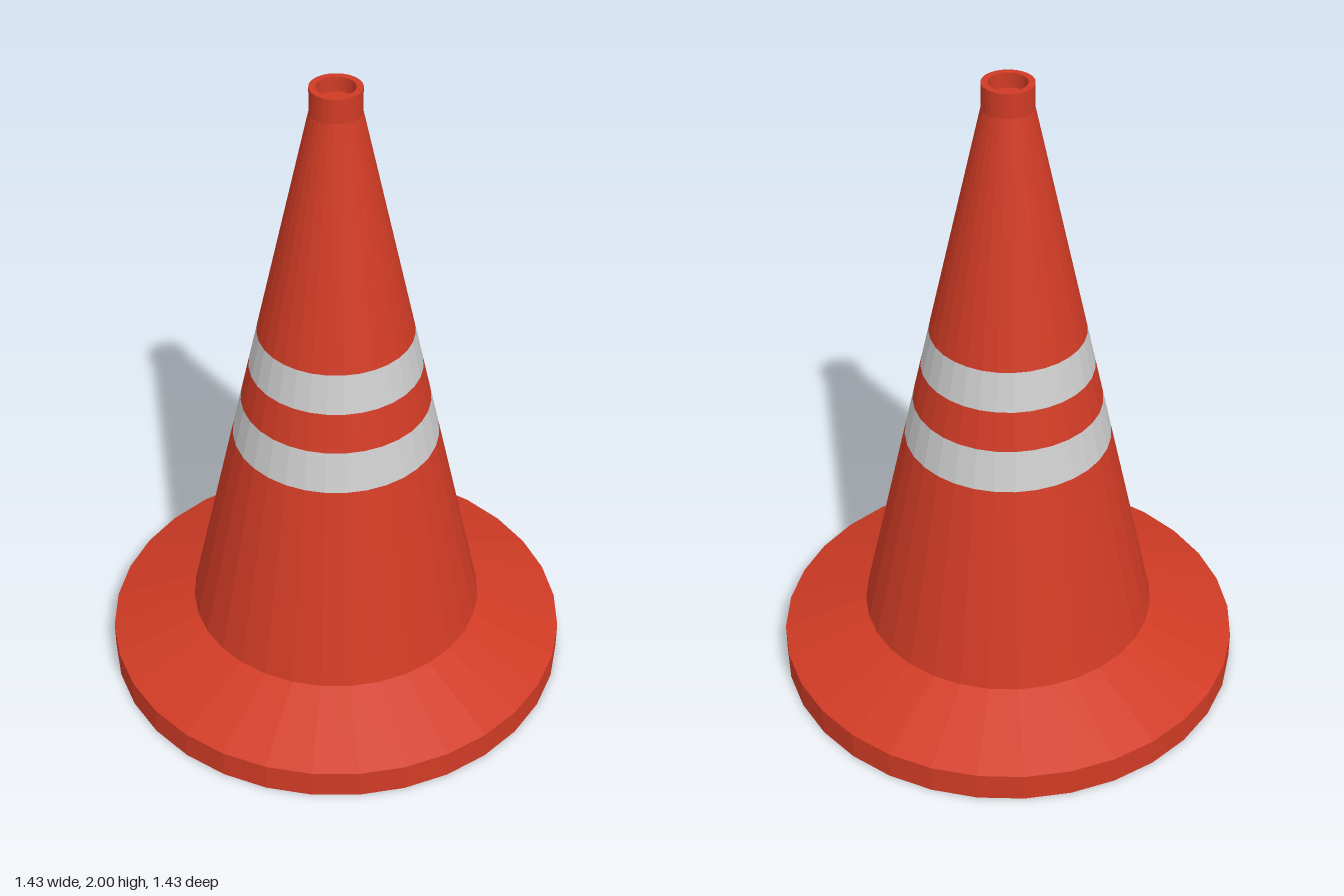
import * as THREE from 'three';

const SIDES = 32;
const ORANGE = 0xd03b25;
const GREY = 0xcccccc;

// Radius of the tapering body at height y
const coneRadius = (y) => THREE.MathUtils.mapLinear(y, 0.195, 1.925, 0.455, 0.075);

// Thin faceted shell turned from a [radius, height] profile
function turned(name, color, profile) {
  const points = profile.map(([r, y]) => new THREE.Vector2(r, y));
  const material = new THREE.MeshStandardMaterial({
    color, flatShading: true, side: THREE.DoubleSide,
  });
  const mesh = new THREE.Mesh(new THREE.LatheGeometry(points, SIDES), material);
  mesh.name = name;
  return mesh;
}

export function createModel() {
  const cone = new THREE.Group();
  cone.name = 'trafficCone';

  // Round foot: upright rim and sloping flange, open underneath
  cone.add(turned('base', ORANGE, [[0.717, 0], [0.717, 0.09], [0.455, 0.195]]));

  // Body bands, alternating plain and reflective, flush with each other
  const levels = [0.195, 0.84, 0.965, 1.085, 1.205, 1.925];
  for (let i = 0; i < levels.length - 1; i++) {
    const striped = i % 2 === 1;
    const band = [levels[i], levels[i + 1]].map((y) => [coneRadius(y), y]);
    cone.add(turned(striped ? 'reflectiveStripe' : 'bodySection', striped ? GREY : ORANGE, band));
  }

  // Straight collar with a lip and a shallow recess in the top
  cone.add(turned('topCollar', ORANGE, [
    [0.075, 1.925], [0.075, 2], [0.056, 2], [0.056, 1.955], [0, 1.955],
  ]));

  return cone;
}
